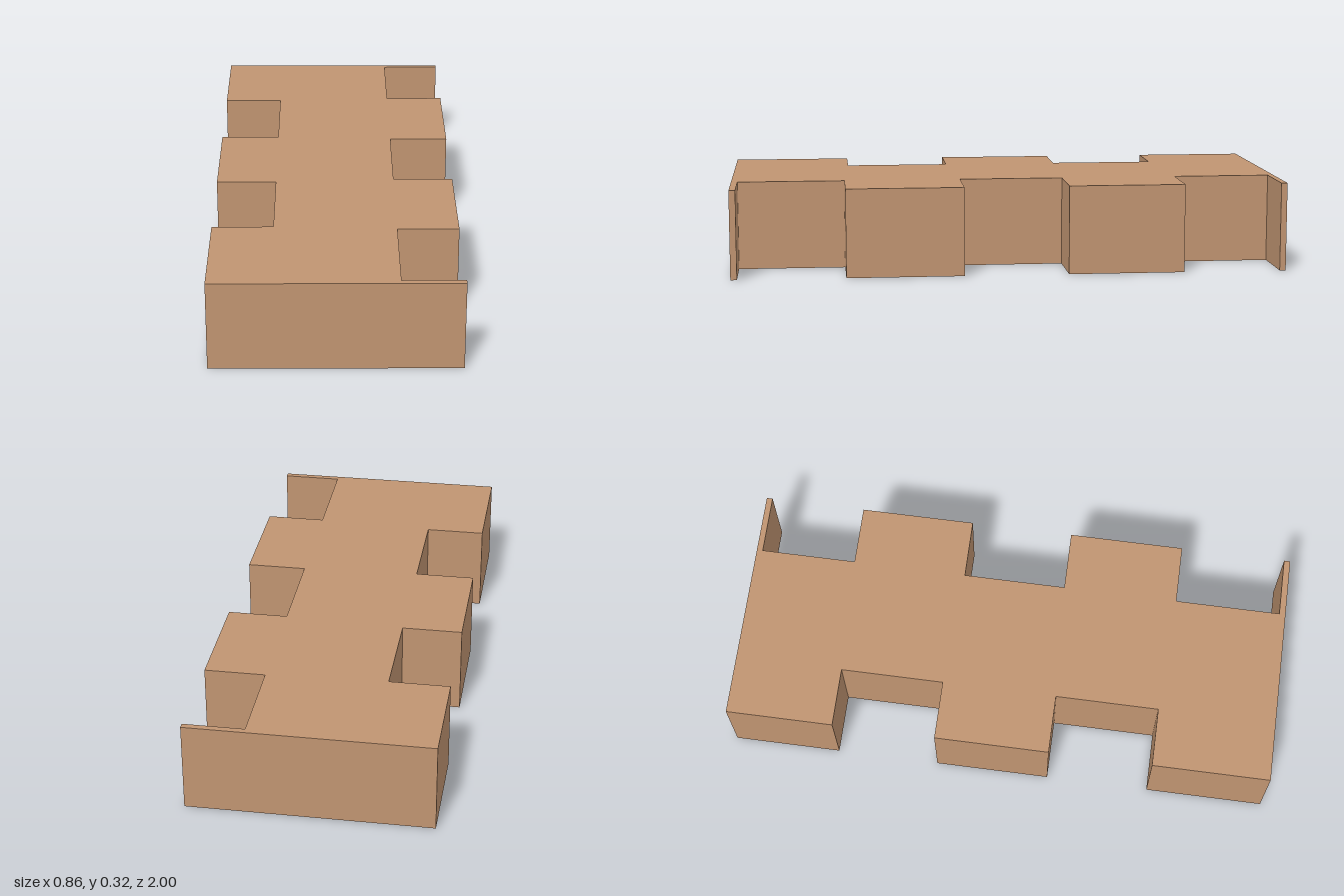
import * as THREE from 'three';

export function createModel() {
  const model = new THREE.Group();
  model.name = 'brickStamp';
  const clay = new THREE.MeshStandardMaterial({ color: 0xc09471 });
  clay.name = 'clay tan';

  const H = 0.32, T = 0.022, LID = 0.02;
  const OUT = 0.432, IN = 0.216;
  // z range of each cross wall; neighbouring bricks share a wall
  const walls = [[-1, -0.978], [-0.627, -0.606], [-0.229, -0.207], [0.169, 0.191], [0.569, 0.591], [0.977, 1]];

  // staggered outline, drawn with shape y = -z
  function outline() {
    const pts = [];
    // right edge, back to front: end tab, notch, brick, notch, brick, notch, end tab
    const right = [-1, walls[0][1], walls[1][0], walls[2][1], walls[3][0], walls[4][1], walls[5][0], 1];
    for (let i = 0; i < right.length; i += 2) {
      pts.push([OUT, right[i]], [OUT, right[i + 1]]);
      if (i + 2 < right.length) pts.push([IN, right[i + 1]], [IN, right[i + 2]]);
    }
    // left edge, front to back: three bricks with two notches
    const left = [1, walls[4][0], walls[3][1], walls[2][0], walls[1][1], -1];
    for (let i = 0; i < left.length; i += 2) {
      pts.push([-OUT, left[i]], [-OUT, left[i + 1]]);
      if (i + 2 < left.length) pts.push([-IN, left[i + 1]], [-IN, left[i + 2]]);
    }
    return new THREE.Shape(pts.map(([x, z]) => new THREE.Vector2(x, -z)));
  }

  function slab(name, shape, y, height) {
    const geo = new THREE.ExtrudeGeometry(shape, { depth: height, bevelEnabled: false });
    geo.rotateX(-Math.PI / 2);
    geo.translate(0, y, 0);
    const mesh = new THREE.Mesh(geo, clay);
    mesh.name = name;
    model.add(mesh);
  }

  // walls around five hollow brick pockets, open underneath
  const frame = outline();
  for (let i = 0; i < 5; i++) {
    const odd = i % 2 === 1;
    const x0 = (odd ? -IN : -OUT) + T;
    const x1 = (odd ? OUT : IN) - T;
    const z0 = walls[i][1], z1 = walls[i + 1][0];
    // wound against the outline so the inner walls face into the pocket
    frame.holes.push(new THREE.Path([
      new THREE.Vector2(x0, -z0), new THREE.Vector2(x0, -z1),
      new THREE.Vector2(x1, -z1), new THREE.Vector2(x1, -z0),
    ]));
  }
  slab('pocketWalls', frame, 0, H - LID);

  // closed top plate
  slab('topPlate', outline(), H - LID, LID);

  return model;
}
